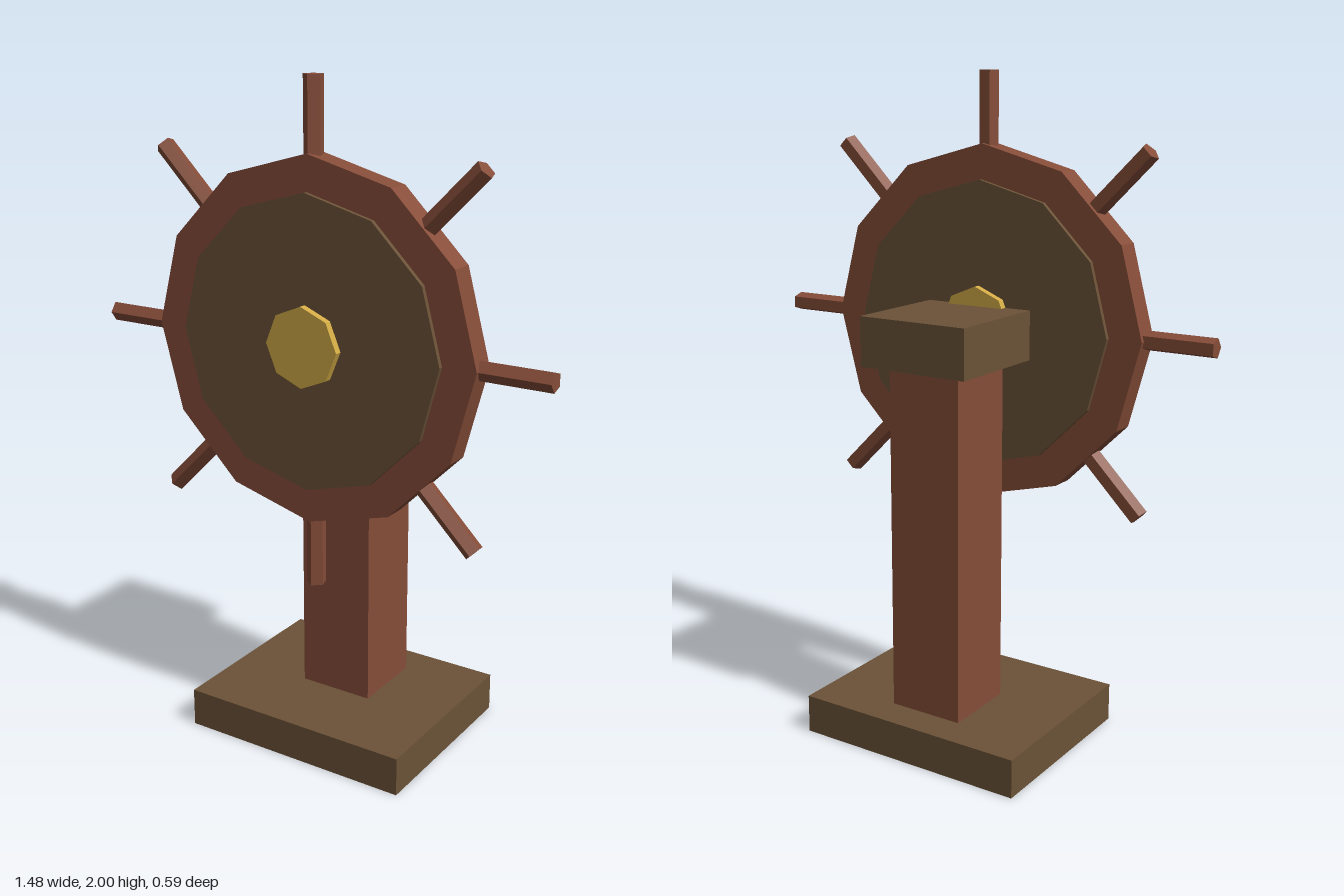
import * as THREE from 'three';

const mat = (name, color) => Object.assign(new THREE.MeshStandardMaterial({ color }), { name, flatShading: true });

export function createModel() {
  const darkWood = mat('dark wood', 0x6b5237);
  const redWood = mat('red wood', 0x864d39);
  const brass = mat('brass', 0xd2ab45);
  const model = new THREE.Group();
  model.name = 'shipWheel';

  const add = (parent, name, geometry, material) => {
    const mesh = new THREE.Mesh(geometry, material);
    mesh.name = name;
    parent.add(mesh);
    return mesh;
  };
  const block = (name, w, d, y0, y1, z, material) =>
    add(model, name, new THREE.BoxGeometry(w, y1 - y0, d), material).position.set(0, (y0 + y1) / 2, z);

  // Stand
  block('base', 0.738, 0.59, 0, 0.118, 0, darkWood);
  block('post', 0.236, 0.236, 0.118, 1.175, -0.072, redWood);
  block('postCap', 0.354, 0.354, 1.175, 1.322, -0.072, darkWood);

  // Wheel, facing +z
  const wheel = new THREE.Group();
  wheel.name = 'wheel';
  wheel.position.set(0, 1.262, 0.149);
  model.add(wheel);

  const disc = (name, radius, depth, sides, material) =>
    add(wheel, name, new THREE.CylinderGeometry(radius, radius, depth, sides).rotateX(Math.PI / 2), material);
  disc('rim', 0.531, 0.074, 12, redWood);
  disc('innerDisc', 0.428, 0.102, 12, darkWood);
  disc('hub', 0.118, 0.147, 8, brass);

  // Eight five-sided handles around the rim
  const handleGeometry = new THREE.CylinderGeometry(0.0295, 0.0295, 0.288, 5).translate(0, 0.594, 0);
  for (let i = 0; i < 8; i++) {
    add(wheel, 'handle' + (i + 1), handleGeometry, redWood).rotation.z = (i * Math.PI) / 4;
  }
  return model;
}
